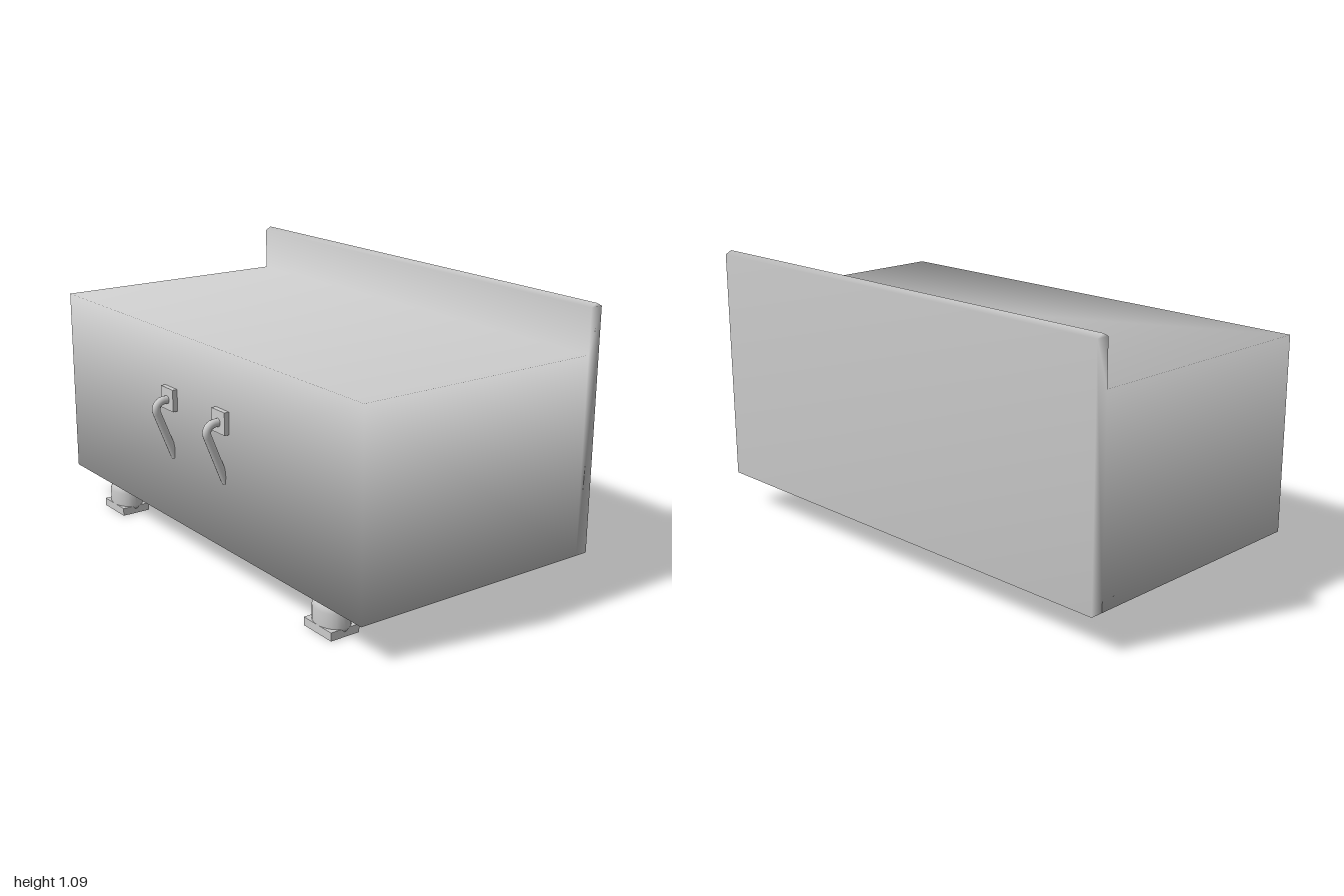
import * as THREE from 'three';
import { mergeVertices } from 'three/addons/utils/BufferGeometryUtils.js';

const material = new THREE.MeshStandardMaterial({ color: 0xcccccc, side: THREE.DoubleSide });

function addMesh(parent, name, geometry, x = 0, y = 0, z = 0) {
  const mesh = new THREE.Mesh(geometry, material);
  mesh.name = name;
  mesh.position.set(x, y, z);
  parent.add(mesh);
  return mesh;
}

// Shares vertices so that shading flows over every edge
function softened(geometry) {
  geometry.deleteAttribute('normal');
  geometry.deleteAttribute('uv');
  const merged = mergeVertices(geometry, 1e-4);
  merged.computeVertexNormals();
  return merged;
}

// Body and raised back panel: side profile (z, y) extruded along the width
function bodyGeometry() {
  const profile = [
    [0.49, 0.137], [0.49, 0.902], [-0.52, 0.902], [-0.52, 1.073],
    [-0.545, 1.087], [-0.572, 1.073], [-0.572, 0.137], [-0.52, 0.137],
  ];
  const shape = new THREE.Shape(profile.map(([z, y]) => new THREE.Vector2(-z, y)));
  const geometry = new THREE.ExtrudeGeometry(shape, { depth: 2, bevelEnabled: false });
  geometry.translate(0, 0, -1);
  geometry.rotateY(Math.PI / 2);
  return softened(geometry);
}

// Foot: domed oval stem on a rectangular pad
function makeFoot(x) {
  const foot = new THREE.Group();
  foot.name = 'foot';
  const outline = [
    [0, 0.02], [0.06, 0.02], [0.062, 0.035], [0.062, 0.088],
    [0.056, 0.108], [0.042, 0.13], [0.036, 0.14], [0, 0.14],
  ].map(([r, y]) => new THREE.Vector2(r, y));
  const stem = addMesh(foot, 'footStem', new THREE.LatheGeometry(outline, 24));
  stem.scale.x = 1.33;
  addMesh(foot, 'footPad', new THREE.BoxGeometry(0.158, 0.032, 0.123), 0, 0.016, 0);
  foot.position.set(x, 0, 0.404);
  return foot;
}

// Handle: square mount with a hooked rod running back down to the front face
function makeHandle(x) {
  const handle = new THREE.Group();
  handle.name = 'handle';
  addMesh(handle, 'handleMount', new THREE.BoxGeometry(0.087, 0.087, 0.02), 0, 0.638, 0.5);
  const v = (y, z) => new THREE.Vector3(0, y, z);
  const path = new THREE.CurvePath();
  path.add(new THREE.LineCurve3(v(0.635, 0.5), v(0.635, 0.522)));
  path.add(new THREE.CubicBezierCurve3(v(0.635, 0.522), v(0.635, 0.548), v(0.612, 0.566), v(0.589, 0.556)));
  path.add(new THREE.LineCurve3(v(0.589, 0.556), v(0.399, 0.48)));
  addMesh(handle, 'handleRod', new THREE.TubeGeometry(path, 32, 0.016, 12));
  handle.position.x = x;
  return handle;
}

export function createModel() {
  const model = new THREE.Group();
  model.name = 'bench';
  addMesh(model, 'bodyWithBackPanel', bodyGeometry());
  for (const side of [-1, 1]) {
    model.add(makeFoot(side * 0.727));
    model.add(makeHandle(side * 0.18));
  }
  return model;
}
